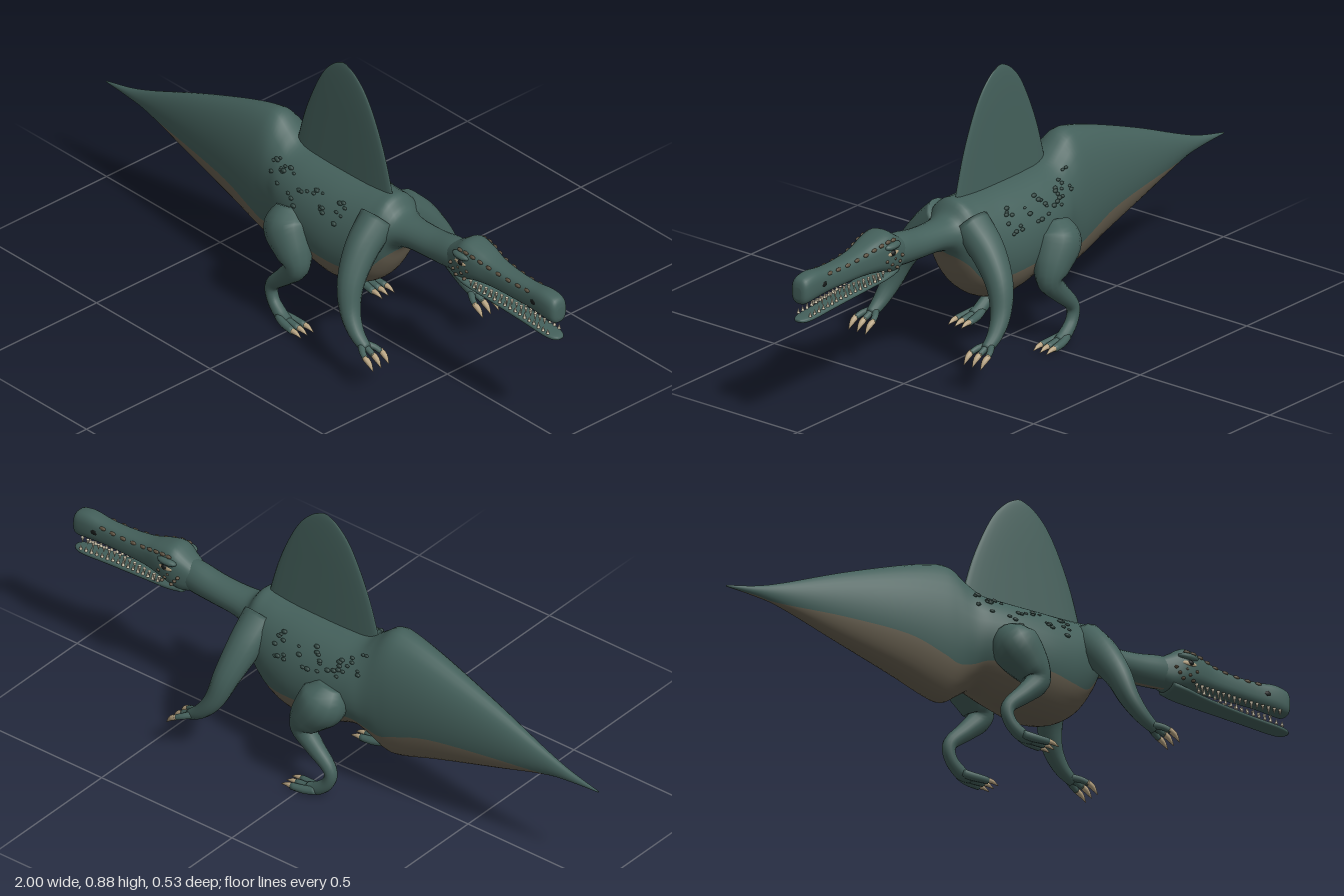
import * as THREE from 'three';

const mat = (name, color, side = THREE.FrontSide) => {
  const m = new THREE.MeshStandardMaterial({ color, side });
  m.name = name;
  return m;
};
const V = (x, y, z) => new THREE.Vector3(x, y, z);

// Catmull-Rom blend of whole rows of numbers; u counts rows
function rowAt(rows, u) {
  const last = rows.length - 1;
  const i = Math.min(Math.floor(u), last - 1), t = u - i;
  const r = k => rows[Math.max(0, Math.min(last, k))];
  const [a, b, c, d] = [r(i - 1), r(i), r(i + 1), r(i + 2)];
  return b.map((_, k) => b[k] + 0.5 * t * (c[k] - a[k] + t * (2 * a[k] - 5 * b[k] + 4 * c[k] - d[k]
    + t * (3 * (b[k] - c[k]) + d[k] - a[k]))));
}
function resample(rows, steps) {
  const n = (rows.length - 1) * steps;
  return Array.from({ length: n + 1 }, (_, i) => rowAt(rows, i / steps));
}

// Skin closed rings; quads from index `split` on go into a second material group
function skin(rings, split = Infinity) {
  const collapse = ring => {
    const c = ring.reduce((s, p) => s.add(p), V(0, 0, 0)).divideScalar(ring.length);
    return ring.map(() => c);
  };
  const all = [collapse(rings[0]), ...rings, collapse(rings[rings.length - 1])];
  const n = rings[0].length, parts = [[], []];
  for (let i = 0; i < all.length - 1; i++) {
    for (let j = 0; j < n; j++) {
      const a = i * n + j, c = i * n + (j + 1) % n, b = a + n, d = c + n;
      parts[j < split ? 0 : 1].push(a, b, c, b, d, c);
    }
  }
  const g = new THREE.BufferGeometry().setFromPoints(all.flat());
  g.setIndex([...parts[0], ...parts[1]]);
  if (parts[1].length) {
    g.addGroup(0, parts[0].length, 0);
    g.addGroup(parts[0].length, parts[1].length, 1);
  }
  g.computeVertexNormals();
  return g;
}

// Point on a cross-section [x, top, bottom, halfWidth]; pow < 1 is boxier
const soft = (v, p) => Math.sign(v) * Math.abs(v) ** p;
const around = ([x, top, bot, w], t, pow = 1) =>
  V(x, (top + bot) / 2 + (top - bot) / 2 * soft(Math.sin(t), pow), w * soft(Math.cos(t), pow));

// Limb from rows [x, y, z, radius]; flat scales the sideways radius
function limb(rows, flat = 1, steps = 5, sides = 14) {
  const pts = resample(rows, steps);
  const at = i => V(...pts[Math.max(0, Math.min(pts.length - 1, i))].slice(0, 3));
  return skin(pts.map((p, i) => {
    const T = at(i + 1).sub(at(i - 1)).normalize();
    const N = T.clone().cross(V(0, 0, 1)).normalize(), B = T.clone().cross(N);
    return Array.from({ length: sides }, (_, j) => {
      const a = j / sides * Math.PI * 2;
      return at(i).addScaledVector(N, Math.cos(a) * p[3]).addScaledVector(B, -Math.sin(a) * p[3] * flat);
    });
  }));
}

// x, top, bottom, half width, height of the belly colour line
const BODY = [
  [-1, 0.338, 0.333, 0.002, 0.333], [-0.9, 0.36, 0.328, 0.012, 0.329], [-0.8, 0.395, 0.313, 0.022, 0.32],
  [-0.6, 0.478, 0.255, 0.052, 0.317], [-0.4, 0.552, 0.197, 0.082, 0.303], [-0.28, 0.588, 0.158, 0.098, 0.265],
  [-0.225, 0.59, 0.152, 0.104, 0.245], [-0.175, 0.553, 0.185, 0.111, 0.255], [-0.125, 0.522, 0.213, 0.125, 0.275],
  [-0.04, 0.517, 0.19, 0.138, 0.28], [0.07, 0.517, 0.164, 0.142, 0.277], [0.16, 0.518, 0.178, 0.132, 0.268],
  [0.23, 0.522, 0.222, 0.115, 0.275], [0.275, 0.522, 0.285, 0.095, 0.325], [0.31, 0.485, 0.36, 0.068, 0.361],
  [0.36, 0.478, 0.383, 0.053, 0.3835], [0.45, 0.483, 0.388, 0.047, 0.3885], [0.53, 0.497, 0.392, 0.045, 0.3925],
  [0.6, 0.5, 0.4, 0.04, 0.4005],
];
const SKULL = [
  [0.52, 0.478, 0.41, 0.035], [0.57, 0.51, 0.392, 0.05], [0.61, 0.533, 0.398, 0.058], [0.66, 0.524, 0.412, 0.053],
  [0.72, 0.506, 0.418, 0.041], [0.8, 0.496, 0.419, 0.035], [0.88, 0.496, 0.418, 0.032], [0.94, 0.503, 0.414, 0.034],
  [0.98, 0.497, 0.41, 0.032], [0.995, 0.485, 0.415, 0.025], [1, 0.465, 0.43, 0.014],
];
const JAW = [
  [0.57, 0.415, 0.388, 0.04], [0.62, 0.404, 0.381, 0.044], [0.7, 0.392, 0.372, 0.037], [0.85, 0.378, 0.36, 0.03],
  [0.95, 0.371, 0.353, 0.029], [0.985, 0.368, 0.352, 0.022], [1, 0.364, 0.356, 0.01],
];

export function createModel() {
  const group = new THREE.Group();
  const hide = mat('hide', 0x44605b), belly = mat('belly', 0x6a6252), claw = mat('claw', 0xb8a482);
  const ivory = mat('tooth', 0xd6ccb4), dark = mat('dark', 0x141817), scale = mat('scale', 0x2f443f);
  const brown = mat('browScale', 0x5d5140);
  const add = (name, geo, material) => {
    const m = new THREE.Mesh(geo, material);
    m.name = name;
    group.add(m);
    return m;
  };
  const ball = new THREE.SphereGeometry(1, 12, 8);
  const blob = (name, material, p, sx, sy, sz) => {
    const m = add(name, ball, material);
    m.position.copy(p);
    m.scale.set(sx, sy, sz);
  };

  // Tail, trunk and neck with a pale underside
  const UP = 22, LOW = 14;
  add('body', skin(resample(BODY, 5).map(r => {
    const h = (r[1] - r[2]) / 2;
    const t0 = Math.asin(THREE.MathUtils.clamp((r[4] - r[1] + h) / h, -0.995, 0.9));
    return Array.from({ length: UP + LOW }, (_, j) => around(r, j < UP
      ? t0 + (Math.PI - 2 * t0) * j / UP
      : Math.PI - t0 + (Math.PI + 2 * t0) * (j - UP) / LOW));
  }), UP), [hide, belly]);

  // Back sail from rows [y, centre x, half length, half thickness]
  const SAIL = [[0.47, 0.05, 0.222, 0.013], [0.55, 0.05, 0.202, 0.012], [0.65, 0.05, 0.172, 0.011],
    [0.75, 0.05, 0.13, 0.01], [0.82, 0.049, 0.09, 0.008], [0.865, 0.048, 0.046, 0.005], [0.885, 0.047, 0.008, 0.001]];
  add('sail', skin(resample(SAIL, 4).map(([y, cx, hx, hz]) => Array.from({ length: 28 }, (_, j) => {
    const a = j / 28 * Math.PI * 2;
    return V(cx + hx * Math.cos(a), y, hz * soft(Math.sin(a), 0.7));
  }))), hide);

  // Skull and jaw
  const ringed = (rows, pow) => skin(resample(rows, 4).map(r =>
    Array.from({ length: 28 }, (_, j) => around(r, j / 28 * Math.PI * 2, pow))));
  add('skull', ringed(SKULL, 0.75), hide);
  add('lowerJaw', ringed(JAW, 0.75), hide);

  let seed = 7;
  const rnd = () => (seed = seed * 16807 % 2147483647) / 2147483647;
  const tooth = new THREE.ConeGeometry(0.0055, 1, 6);

  for (const s of [1, -1]) {
    const side = s > 0 ? 'left' : 'right';
    const flip = p => V(p.x, p.y, -s * p.z);
    const S = rows => rows.map(([x, y, z, r]) => [x, y, s * z, r]);

    // Hind leg and foot
    add(side + 'HindLeg', limb(S([[-0.07, 0.375, 0.11, 0.045], [-0.055, 0.325, 0.133, 0.078], [-0.01, 0.26, 0.15, 0.06],
      [0.005, 0.215, 0.156, 0.04], [-0.04, 0.165, 0.157, 0.03], [-0.098, 0.108, 0.158, 0.022],
      [-0.093, 0.06, 0.16, 0.02], [-0.055, 0.025, 0.163, 0.021], [-0.02, 0.017, 0.165, 0.015]]), 0.95), hide);
    for (const k of [-1, 0, 1]) {
      const z = 0.164 + k * 0.025;
      add(side + 'Toe', limb(S([[-0.055, 0.022, 0.164 + k * 0.008, 0.014], [-0.02, 0.015, z - k * 0.006, 0.013],
        [0.025, 0.012, z, 0.011]]), 1, 3, 10), hide);
      add(side + 'ToeClaw', limb(S([[0.018, 0.013, z, 0.009], [0.04, 0.012, z, 0.007], [0.062, 0.004, z, 0.001]]), 1, 3, 8), claw);
    }

    // Arm and hand
    add(side + 'Arm', limb(S([[0.25, 0.45, 0.05, 0.06], [0.257, 0.385, 0.122, 0.053], [0.275, 0.3, 0.183, 0.042],
      [0.3, 0.22, 0.209, 0.032], [0.34, 0.165, 0.22, 0.024], [0.385, 0.132, 0.222, 0.017]]), 1), hide);
    for (const k of [-1, 0, 1]) {
      const z = 0.222 + k * 0.032;
      add(side + 'Finger', limb(S([[0.37, 0.14, 0.222 + k * 0.006, 0.012], [0.395, 0.133, z - k * 0.008, 0.01],
        [0.418, 0.123, z, 0.009]]), 1, 3, 10), hide);
      add(side + 'FingerClaw', limb(S([[0.412, 0.126, z, 0.009], [0.432, 0.115, z, 0.0085], [0.45, 0.094, z, 0.001]]), 1, 3, 8), claw);
    }

    // Teeth along both jaws
    for (let i = 0; i < 16; i++) {
      const x = 0.65 + i * 0.0205, len = 0.02 + 0.008 * (i % 3 === 1);
      const w = 0.043 - 0.016 * Math.min(1, i / 8);
      const upper = add(side + 'UpperTooth', tooth, ivory);
      upper.scale.y = len;
      upper.rotation.x = Math.PI;
      upper.position.set(x, 0.419 - len / 2, s * w);
      const lower = add(side + 'LowerTooth', tooth, ivory);
      lower.scale.y = len * 0.85;
      lower.position.set(x + 0.01, 0.398 - (x - 0.65) * 0.085 + len * 0.3, s * (w - 0.004));
    }

    // Eye, brow scales and nostril
    blob(side + 'EyeLid', claw, V(0.617, 0.472, s * 0.052), 0.027, 0.01, 0.009);
    blob(side + 'Eye', dark, V(0.62, 0.474, s * 0.056), 0.011, 0.009, 0.008);
    blob(side + 'Brow', hide, V(0.615, 0.494, s * 0.05), 0.036, 0.012, 0.016);
    blob(side + 'Nostril', dark, V(0.912, 0.458, s * 0.031), 0.013, 0.009, 0.004);
    for (let i = 0; i < 9; i++) {
      blob(side + 'BrowScale', brown, flip(around(rowAt(SKULL, 2 + i * 0.5), 0.62, 0.75)), 0.011, 0.006, 0.005);
    }
    for (let i = 0; i < 7; i++) {
      blob(side + 'CheekScale', brown, V(0.572 + i * 0.012, 0.452 - (i % 3) * 0.016, s * 0.053), 0.006, 0.005, 0.007);
    }

    // Scattered flank scales
    for (let i = 0; i < 34; i++) {
      const p = flip(around(rowAt(BODY, 7.1 + rnd() * 4), 0.3 + rnd() * 0.6));
      const r = 0.004 + rnd() * 0.003;
      blob(side + 'FlankScale', scale, p, r * 1.5, r, r);
    }
  }
  return group;
}
